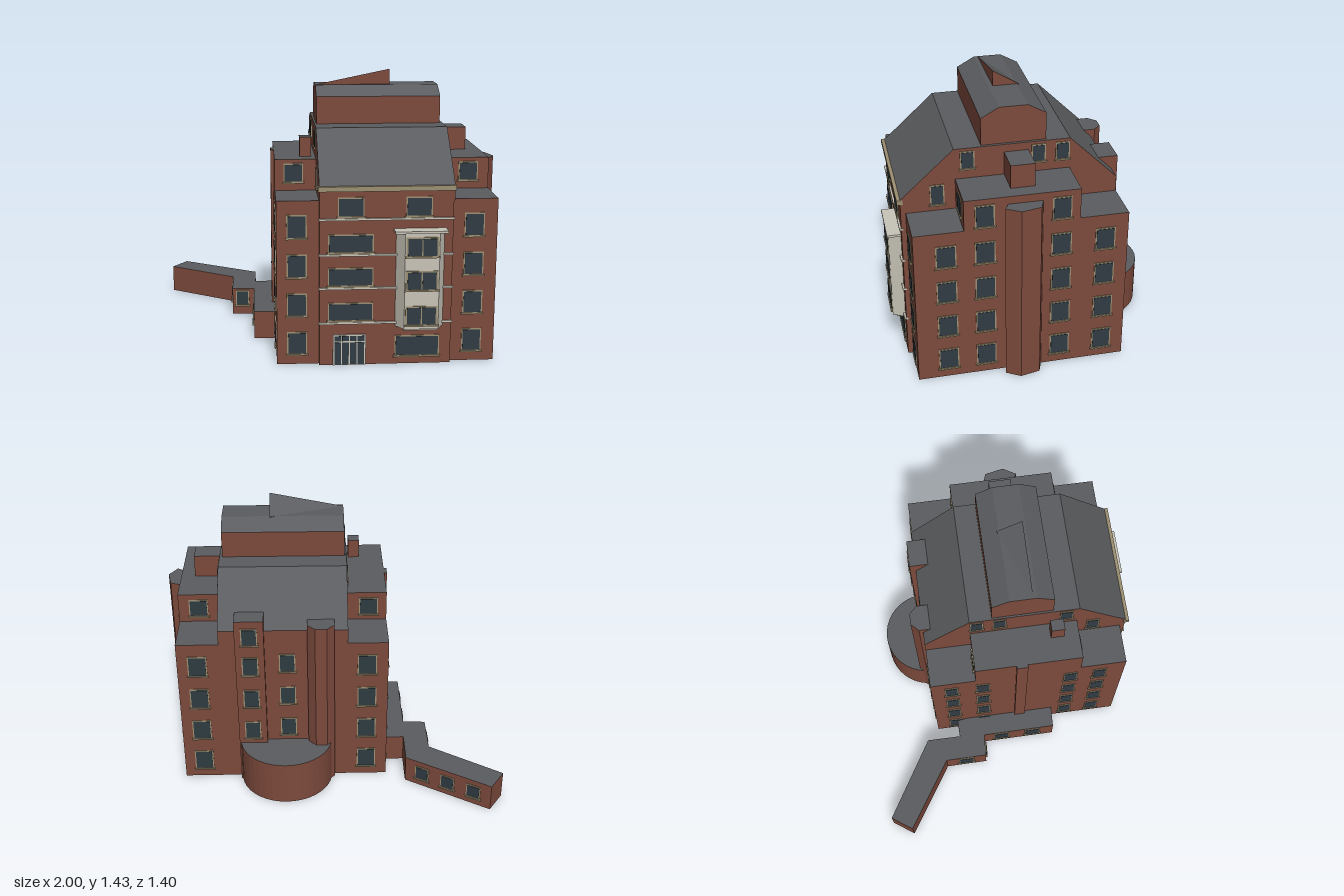
import * as THREE from 'three';

const mat = (color, side = THREE.FrontSide) => new THREE.MeshStandardMaterial({ color, side });

export function createModel() {
  const brick = mat(0x7d4a3c, THREE.DoubleSide);
  const roof = mat(0x5a5c5f, THREE.DoubleSide);
  const glass = mat(0x2f3b42);
  const cream = mat(0xc8c4b8);
  const tan = mat(0x9c8f72);

  const model = new THREE.Group();
  const house = new THREE.Group();
  house.name = 'house';
  house.rotation.y = 0.302;
  model.add(house);

  // Splits a solid into brick walls and slate tops; downward faces are left open
  function solid(parent, name, source) {
    const geo = source.index ? source.toNonIndexed() : source;
    const p = geo.attributes.position;
    const walls = [], tops = [];
    const a = new THREE.Vector3(), b = new THREE.Vector3(), c = new THREE.Vector3();
    for (let i = 0; i < p.count; i += 3) {
      a.fromBufferAttribute(p, i);
      b.fromBufferAttribute(p, i + 1);
      c.fromBufferAttribute(p, i + 2);
      const n = b.clone().sub(a).cross(c.clone().sub(a)).normalize();
      if (n.y < -0.9) continue;
      (n.y > 0.15 ? tops : walls).push(...a.toArray(), ...b.toArray(), ...c.toArray());
    }
    const out = new THREE.BufferGeometry();
    out.setAttribute('position', new THREE.Float32BufferAttribute([...walls, ...tops], 3));
    out.addGroup(0, walls.length / 3, 0);
    out.addGroup(walls.length / 3, tops.length / 3, 1);
    out.computeVertexNormals();
    const mesh = new THREE.Mesh(out, [brick, roof]);
    mesh.name = name;
    parent.add(mesh);
    return mesh;
  }

  const shapeOf = pts => new THREE.Shape(pts.map(([x, y]) => new THREE.Vector2(x, y)));

  // Upright prism from a plan of [x, z] corners
  function planGeo(plan, y0, y1) {
    const g = new THREE.ExtrudeGeometry(shapeOf(plan.map(([x, z]) => [x, -z])),
      { depth: y1 - y0, bevelEnabled: false });
    return g.rotateX(-Math.PI / 2).translate(0, y0, 0);
  }
  const prism = (parent, name, plan, y0, y1) => solid(parent, name, planGeo(plan, y0, y1));
  const block = (name, x0, x1, z0, z1, y0, y1) =>
    prism(house, name, [[x0, z0], [x1, z0], [x1, z1], [x0, z1]], y0, y1);

  // Side profile of [z, y] points drawn out along x
  function gable(name, profile, x0, x1) {
    const g = new THREE.ExtrudeGeometry(shapeOf(profile.map(([z, y]) => [-z, y])),
      { depth: x1 - x0, bevelEnabled: false });
    return solid(house, name, g.rotateY(Math.PI / 2).translate(x0, 0, 0));
  }

  function box(parent, name, w, h, d, x, y, z, material) {
    const m = new THREE.Mesh(new THREE.BoxGeometry(w, h, d), material);
    m.name = name;
    m.position.set(x, y, z);
    parent.add(m);
    return m;
  }

  // Framed window on a wall that faces the given angle
  function win(parent, x, z, angle, yBottom, w, h, panes = 1) {
    const g = new THREE.Group();
    g.name = 'window';
    g.position.set(x, yBottom + h / 2, z);
    g.rotation.y = angle;
    box(g, 'windowFrame', w, h, 0.008, 0, 0, 0, tan);
    box(g, 'windowSill', w + 0.012, 0.008, 0.02, 0, -h / 2, 0, tan);
    const pw = (w - 0.012) / panes;
    for (let i = 0; i < panes; i++) {
      box(g, 'pane', pw - (panes > 1 ? 0.006 : 0), h - 0.014, 0.004,
        -w / 2 + 0.006 + pw * (i + 0.5), 0, 0.004, glass);
    }
    parent.add(g);
  }
  const FRONT = 0, BACK = Math.PI, RIGHT = Math.PI / 2, LEFT = -Math.PI / 2;
  const ROWS = [0.05, 0.25, 0.45, 0.65];

  // Main walls up to the corner roofs
  prism(house, 'mainWalls', [[-0.25, -0.4], [0.845, -0.4], [0.845, 0.655], [0.62, 0.655],
    [0.62, 0.68], [-0.04, 0.68], [-0.04, 0.655], [-0.25, 0.655]], 0, 0.84);

  // Shoulder storeys on both sides
  block('leftShoulder', -0.25, -0.03, -0.157, 0.41, 0.84, 1.0);
  block('rightShoulder', 0.61, 0.845, -0.157, 0.41, 0.84, 1.0);

  // Central mansard with sloping front and back
  gable('mansard', [[0.68, 0.84], [0.68, 0.915], [0.415, 1.16], [-0.157, 1.16],
    [-0.4, 0.92], [-0.4, 0.84]], -0.04, 0.625);

  // Top storey with chamfered roof
  gable('topStorey', [[0.28, 1.15], [0.28, 1.3], [0.19, 1.35], [0.05, 1.35],
    [-0.04, 1.3], [-0.04, 1.15]], -0.03, 0.61);

  // Raised wedge on the top roof
  const wedge = planGeo([[-0.03, 0.17], [0.36, 0.17], [0.36, 0.04]], 1.34, 1.43);
  const wp = wedge.attributes.position;
  for (let i = 0; i < wp.count; i++) {
    const isPeak = wp.getX(i) > 0.3 && wp.getZ(i) > 0.1;
    if (wp.getY(i) > 1.4 && !isPeak) wp.setY(i, 1.35);
  }
  solid(house, 'roofWedge', wedge);

  // Chimneys, stair turrets and back dormer
  block('rightChimney', 0.61, 0.77, 0.05, 0.17, 0.99, 1.12);
  block('leftChimney', -0.12, -0.06, 0.26, 0.33, 0.99, 1.1);
  block('leftPilaster', -0.265, -0.24, 0.06, 0.12, 0, 1.0);
  block('backDormer', 0.39, 0.54, -0.43, -0.3, 0, 0.99);
  prism(house, 'rightTurret', [[0.8, 0.03], [0.85, 0.03], [0.906, 0.05], [0.927, 0.15],
    [0.885, 0.22], [0.85, 0.2], [0.8, 0.2]], 0, 0.96);
  prism(house, 'backTurret', [[0.03, -0.3], [0.03, -0.42], [0.07, -0.46], [0.13, -0.46],
    [0.17, -0.42], [0.17, -0.3]], 0, 0.96);

  // Low half-round room at the back
  const arc = [];
  for (let i = 0; i <= 20; i++) {
    const t = Math.PI * i / 20;
    arc.push([0.29 + 0.245 * Math.cos(t), -0.395 - 0.24 * Math.sin(t)]);
  }
  prism(house, 'roundRoom', arc, 0, 0.24);

  // Low side annex and passage
  prism(model, 'passage', [[-0.96, -0.46], [-1, -0.33], [-0.575, -0.21], [-0.505, 0.01],
    [-0.388, -0.02], [-0.265, 0.37], [-0.15, 0.34], [-0.28, -0.09], [-0.33, -0.19],
    [-0.42, -0.16], [-0.475, -0.34]], 0, 0.15);
  win(model, -0.45, -0.004, 0.25, 0.05, 0.075, 0.09);
  win(model, -0.54, -0.1, -1.26, 0.05, 0.09, 0.09);
  for (const t of [0.25, 0.7]) {
    win(model, -0.388 + 0.123 * t, -0.02 + 0.39 * t, -1.265, 0.05, 0.09, 0.09);
  }
  for (const t of [0.2, 0.5, 0.8]) {
    win(model, -0.96 + 0.485 * t, -0.46 + 0.12 * t, Math.PI - 0.243, 0.04, 0.08, 0.08);
  }

  // Repeating windows on all four walls
  for (const y of ROWS) {
    for (const x of [-0.15, 0.73]) win(house, x, 0.655, FRONT, y, 0.1, 0.12);
    for (const z of [0.5, 0.31, -0.065, -0.285]) win(house, 0.845, z, RIGHT, y, 0.1, 0.12);
    for (const z of [-0.29, -0.12, 0.36, 0.52]) win(house, -0.25, z, LEFT, y, 0.075, 0.12);
    for (const x of [-0.14, 0.74]) win(house, x, -0.4, BACK, y, 0.1, 0.12);
    if (y > 0.2) {
      win(house, 0.465, -0.43, BACK, y + 0.02, 0.085, 0.11);
      win(house, 0.275, -0.4, BACK, y + 0.02, 0.085, 0.11);
    }
  }
  win(house, 0.465, -0.43, BACK, 0.85, 0.085, 0.1);

  // Upper windows of the shoulders and gables
  for (const x of [-0.155, 0.74]) {
    win(house, x, 0.41, FRONT, 0.88, 0.1, 0.1);
    win(house, x, -0.157, BACK, 0.87, 0.1, 0.1);
  }
  for (const z of [0.31, -0.065]) win(house, 0.845, z, RIGHT, 0.85, 0.095, 0.12);
  for (const [x, side] of [[0.625, RIGHT], [-0.04, LEFT]]) {
    win(house, x, 0.5, side, 0.87, 0.07, 0.11);
    for (const z of [0.35, 0, -0.12]) win(house, x, z, side, 1.05, 0.07, 0.095);
  }

  // Front bands and cornice
  for (const y of [0.22, 0.4, 0.57, 0.75]) {
    box(house, 'frontBand', 0.666, 0.01, 0.02, 0.29, y, 0.68, cream);
  }
  box(house, 'cornice', 0.675, 0.025, 0.03, 0.29, 0.903, 0.682, tan);

  // Front centre windows and door
  for (const y of [0.23, 0.41, 0.58]) win(house, 0.115, 0.68, FRONT, y, 0.225, 0.095);
  for (const x of [0.115, 0.45]) win(house, x, 0.68, FRONT, 0.76, 0.13, 0.1);
  win(house, 0.45, 0.68, FRONT, 0.04, 0.225, 0.11);
  const door = new THREE.Group();
  door.name = 'frontDoor';
  box(door, 'doorFrame', 0.165, 0.16, 0.01, 0.11, 0.08, 0.682, cream);
  for (let i = 0; i < 4; i++) {
    box(door, 'doorPane', 0.033, 0.115, 0.006, 0.052 + i * 0.0387, 0.062, 0.686, glass);
    box(door, 'topPane', 0.033, 0.026, 0.006, 0.052 + i * 0.0387, 0.14, 0.686, glass);
  }
  house.add(door);

  // Pale bay window with slanted cheeks
  const bay = new THREE.Mesh(planGeo([[0.335, 0.675], [0.375, 0.74], [0.545, 0.74],
    [0.58, 0.675]], 0.2, 0.69), cream);
  bay.name = 'bayWindow';
  house.add(bay);
  box(house, 'bayRoof', 0.26, 0.012, 0.075, 0.455, 0.695, 0.712, cream);
  box(house, 'bayFoot', 0.17, 0.015, 0.04, 0.46, 0.195, 0.7, cream);
  for (const y of [0.22, 0.4, 0.57]) win(house, 0.46, 0.74, FRONT, y, 0.16, 0.1, 2);

  return model;
}
